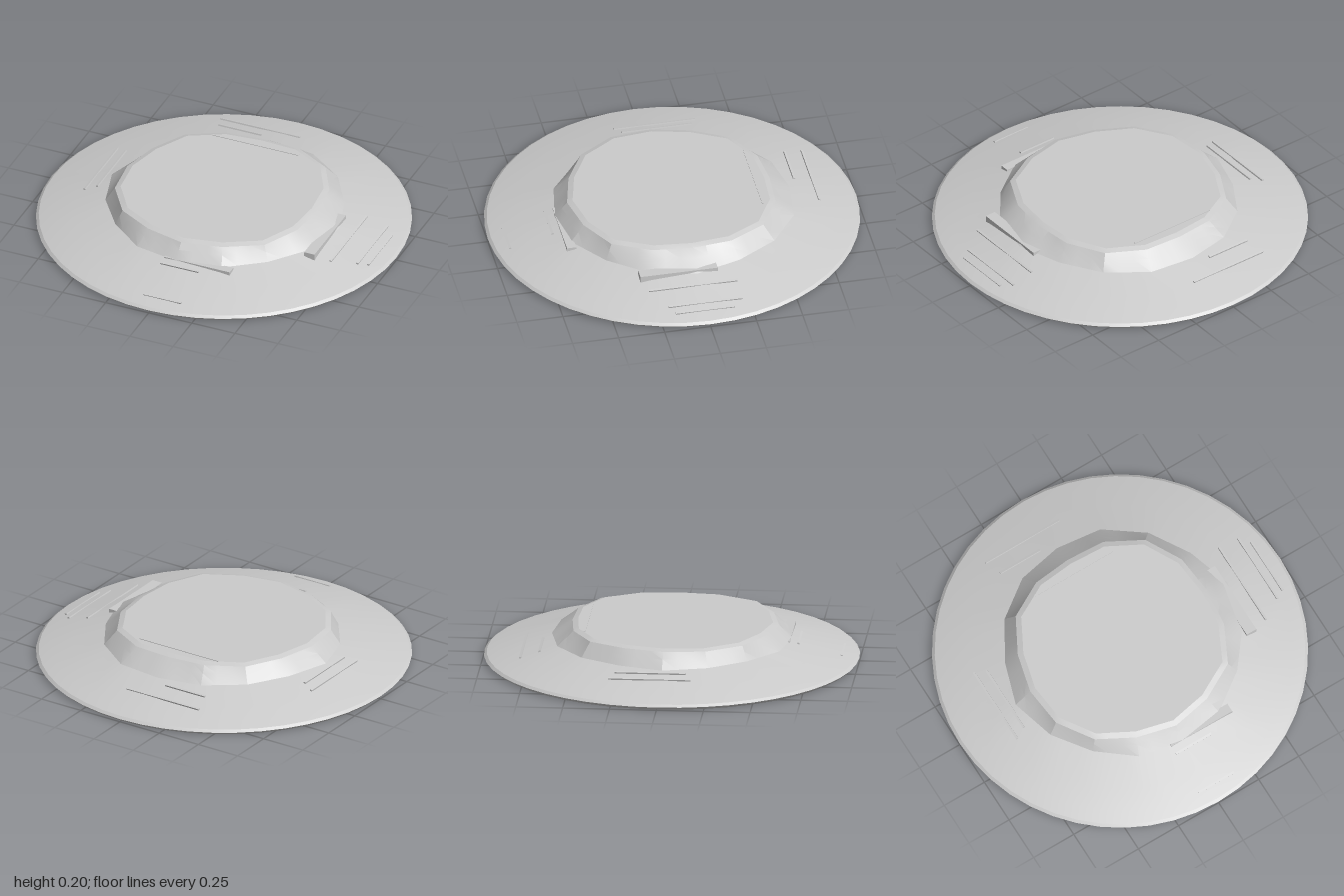
import * as THREE from 'three';
import { toCreasedNormals } from 'three/addons/utils/BufferGeometryUtils.js';

const SEG = 48;
const grey = () => new THREE.MeshStandardMaterial({ color: 0xcccccc, side: THREE.DoubleSide });

// Outline radii at 16 equal angles, starting at +x and turning towards +z
const crownTop = [.54, .56, .59, .57, .57, .56, .58, .58, .56, .55, .57, .55, .53, .56, .58, .56];
const crownFoot = [.67, .66, .64, .65, .64, .64, .62, .63, .65, .62, .63, .64, .64, .66, .65, .64];

// Straight-edged polygon outline through 16 radii, resampled at the brim's segments
function outline(radii) {
  const corner = k => new THREE.Vector2().setX(radii[k % 16]).rotateAround(new THREE.Vector2(), k * Math.PI / 8);
  return i => {
    const t = i * 16 / SEG, k = Math.floor(t);
    return corner(k).lerp(corner(k + 1), t - k);
  };
}
const circle = r => i => {
  const a = i / SEG * Math.PI * 2;
  return new THREE.Vector2(Math.cos(a) * r, Math.sin(a) * r);
};
const mix = (f, g, t) => i => f(i).lerp(g(i), t);
const grow = (f, d) => i => {
  const p = f(i);
  return p.setLength(p.length() + d);
};

// Skin through a stack of [outline, height] rings, from the inside out
function loft(rings) {
  const pos = [], index = [];
  for (const [f, y] of rings)
    for (let i = 0; i < SEG; i++) {
      const p = f(i % SEG);
      pos.push(p.x, y, p.y);
    }
  for (let r = 0; r < rings.length - 1; r++)
    for (let i = 0; i < SEG; i++) {
      const a = r * SEG + i, b = r * SEG + (i + 1) % SEG;
      index.push(a, b, a + SEG, b, b + SEG, a + SEG);
    }
  const g = new THREE.BufferGeometry();
  g.setAttribute('position', new THREE.Float32BufferAttribute(pos, 3));
  g.setIndex(index);
  return toCreasedNormals(g, 0.3);
}

export function createModel() {
  const group = new THREE.Group();
  const add = (name, geometry) => {
    const m = new THREE.Mesh(geometry, grey());
    m.name = name;
    group.add(m);
    return m;
  };
  const top = outline(crownTop), foot = outline(crownFoot), centre = circle(0);

  // Raised crown: flat lid, bevelled edge and sloping facets
  add('crown', loft([
    [centre, .207], [grow(top, -.03), .207], [top, .197],
    [mix(top, foot, .4), .165], [foot, .12],
  ]));

  // Brim: gentle slope to a thin rounded edge, then back underneath
  add('brim', loft([
    [foot, .12], [circle(.8), .08], [circle(.92), .05], [circle(.985), .032],
    [circle(1), .02], [circle(.985), .005], [circle(.9), .012],
    [circle(.8), .045], [foot, .08],
  ]));

  // Hollow inside of the crown
  add('crownLining', loft([
    [foot, .08], [mix(top, foot, .4), .14], [grow(top, -.02), .18], [centre, .18],
  ]));

  // Thin seams on the brim: [side angle, radius, from, to], measured along each side
  const seams = [
    [0, .74, -.2, .28], [0, .86, -.2, .2], [0, .91, -.15, .17],
    [Math.PI, .74, -.16, .28], [Math.PI, .68, -.13, .25],
    [Math.PI / 2, .68, -.15, .07], [Math.PI / 2, .91, -.15, .07],
    [-Math.PI / 2, .78, -.36, .1], [-Math.PI / 2, .68, -.33, -.08],
  ];
  for (const [angle, r, from, to] of seams) {
    const y = r < .8 ? .12 - (r - .66) * .286 : .08 - (r - .8) * .25;
    const seam = add('brimSeam', new THREE.BoxGeometry(.012, .008, to - from));
    seam.rotation.set(0, -angle, -.27, 'YXZ');
    seam.position.set(r, y, (from + to) / 2).applyAxisAngle(new THREE.Vector3(0, 1, 0), -angle);
  }

  // Small steps at the foot of the crown, on its left and front
  const leftStep = add('leftStep', new THREE.BoxGeometry(.06, .04, .42));
  leftStep.position.set(.63, .115, .1);
  const frontStep = add('frontStep', new THREE.BoxGeometry(.38, .03, .05));
  frontStep.position.set(.12, .11, .61);

  // Low bars across the back of the lid
  const lidBar = add('lidBar', new THREE.BoxGeometry(.5, .008, .01));
  lidBar.position.set(-.01, .206, -.445);

  // Base edge rests on the ground
  group.position.y = -.005;
  const model = new THREE.Group();
  model.name = 'discWithCrown';
  model.add(group);
  return model;
}
